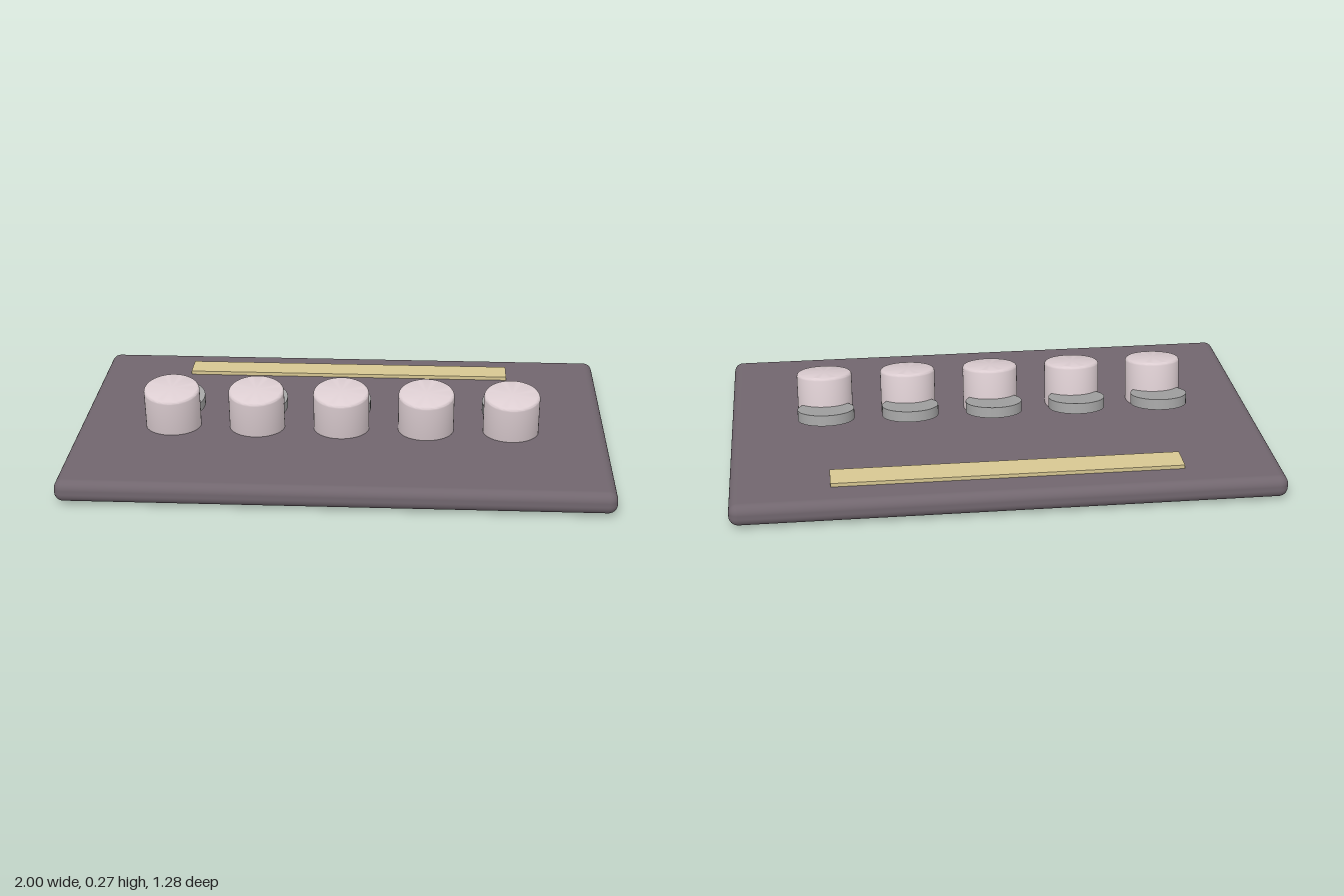
import * as THREE from 'three';
import { toCreasedNormals } from 'three/addons/utils/BufferGeometryUtils.js';
import { RoundedBoxGeometry } from 'three/addons/geometries/RoundedBoxGeometry.js';

const TILT = THREE.MathUtils.degToRad(10);

const material = (color) => new THREE.MeshStandardMaterial({ color });

function part(name, geometry, mat, x, y, z, tilt = 0) {
  const mesh = new THREE.Mesh(geometry, mat);
  mesh.name = name;
  mesh.position.set(x, y, z);
  mesh.rotation.x = tilt;
  return mesh;
}

// Upright cylinder with softly rounded rims, centred on its middle
function roundedCylinder(radius, height, bevel) {
  const h = height / 2;
  const points = [new THREE.Vector2(0, -h)];
  for (const side of [-1, 1]) {
    for (let i = 0; i <= 4; i++) {
      const a = (side < 0 ? i - 4 : i) * Math.PI / 8;
      points.push(new THREE.Vector2(
        radius - bevel + bevel * Math.cos(a),
        side * (h - bevel) + bevel * Math.sin(a)));
    }
  }
  points.push(new THREE.Vector2(0, h));
  return toCreasedNormals(new THREE.LatheGeometry(points, 48), 0.6);
}

export function createModel() {
  const model = new THREE.Group();
  model.name = 'buttonPanel';

  const boardMat = material(0x71666e);
  const knobMat = material(0xdccdd1);
  const discMat = material(0xa3a3a3);
  const stripMat = material(0xd7c792);

  // Rounded base plate
  model.add(part('board', new RoundedBoxGeometry(2, 0.082, 1.28, 5, 0.034), boardMat, 0, 0.052, 0));

  // Thin label strip along the back
  model.add(part('strip', new THREE.BoxGeometry(1.28, 0.03, 0.11), stripMat, 0, 0.092, -0.465));

  // Row of five tilted knobs, each with a disc behind it
  const knobGeometry = roundedCylinder(0.105, 0.24, 0.012);
  const discGeometry = new THREE.CylinderGeometry(0.107, 0.107, 0.04, 48);
  for (let i = -2; i <= 2; i++) {
    const station = new THREE.Group();
    station.name = 'knobStation';
    station.position.x = i * 0.32;
    station.add(
      part('knob', knobGeometry, knobMat, 0, 0.136, 0.106, TILT),
      part('disc', discGeometry, discMat, 0, 0.145, -0.018, TILT));
    model.add(station);
  }
  return model;
}
